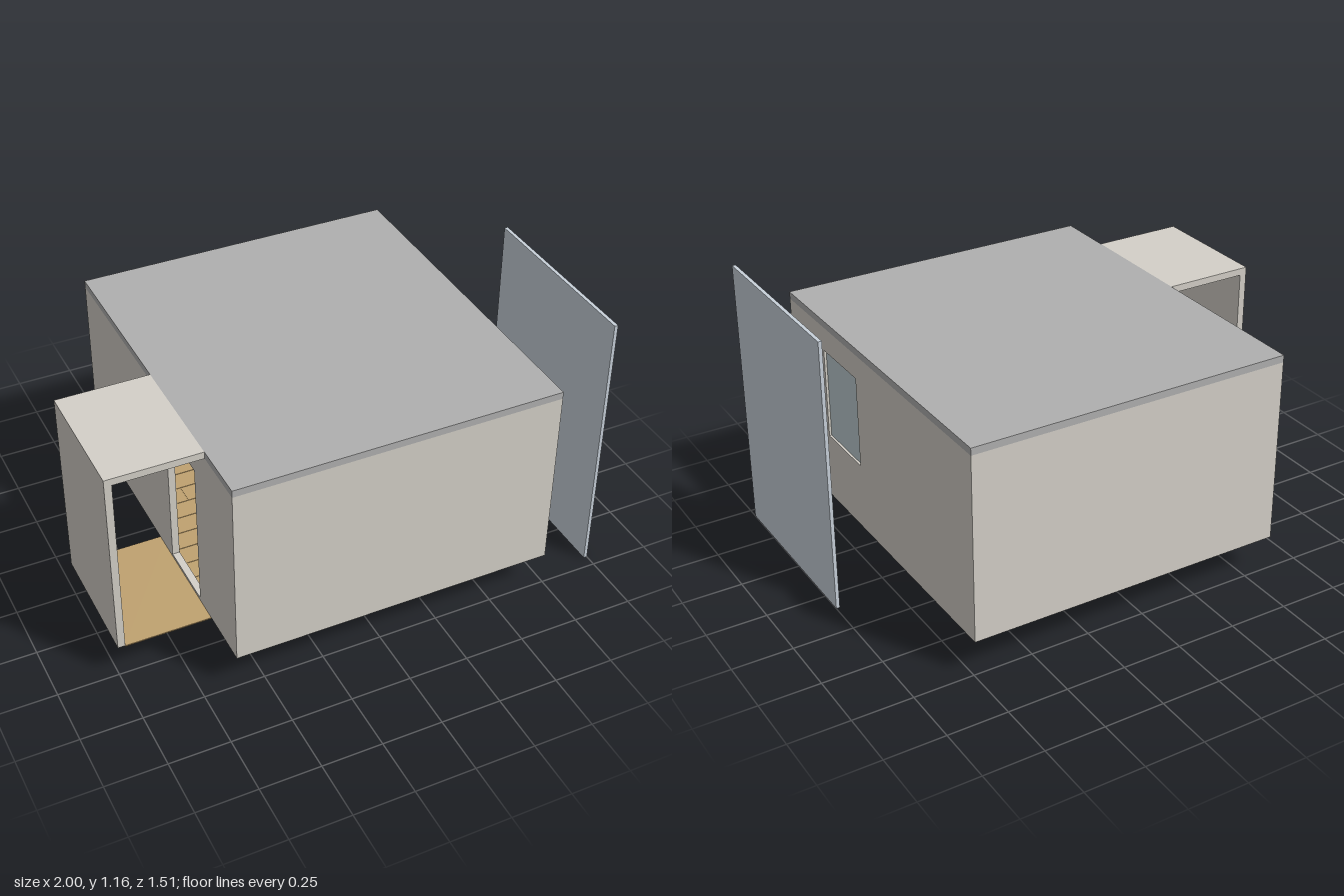
import * as THREE from 'three';

const paint = (color) => new THREE.MeshStandardMaterial({ color });
const wallPaint = paint(0xd4d0c8);
const roofPaint = paint(0xb0b0b0);
const panelPaint = paint(0xc9d2db);
const glassPaint = paint(0xbfced2);
const woodPaint = paint(0xc0a270);

const T = 0.03; // wall thickness
const Y0 = 0.15, Y1 = 0.935, TOP = 0.965; // floor level, wall top, roof top
const X0 = -0.615, X1 = 0.745, Z = 0.755; // room outline

export function createModel() {
  const model = new THREE.Group();
  model.name = 'room';

  // Box given by its minimum and maximum along each axis
  function box(name, mat, x0, x1, y0, y1, z0, z1, parent = model) {
    const mesh = new THREE.Mesh(new THREE.BoxGeometry(x1 - x0, y1 - y0, z1 - z0), mat);
    mesh.position.set((x0 + x1) / 2, (y0 + y1) / 2, (z0 + z1) / 2);
    mesh.name = name;
    parent.add(mesh);
    return mesh;
  }

  // Side wall, drawn in z and y, with one rectangular opening
  function sideWall(name, xMax, z0, z1, y0, y1) {
    const shape = new THREE.Shape();
    const w = Z - T;
    shape.moveTo(-w, Y0).lineTo(w, Y0).lineTo(w, Y1).lineTo(-w, Y1).closePath();
    const hole = new THREE.Path();
    hole.moveTo(z0, y0).lineTo(z0, y1).lineTo(z1, y1).lineTo(z1, y0).closePath();
    shape.holes.push(hole);
    const geo = new THREE.ExtrudeGeometry(shape, { depth: T, bevelEnabled: false });
    geo.rotateY(-Math.PI / 2).translate(xMax, 0, 0);
    const mesh = new THREE.Mesh(geo, wallPaint);
    mesh.name = name;
    model.add(mesh);
  }

  // Room shell
  box('frontWall', wallPaint, X0, X1, Y0, Y1, Z - T, Z);
  box('backWall', wallPaint, X0, X1, Y0, Y1, -Z, -Z + T);
  sideWall('windowWall', X1, 0.157, 0.444, 0.44, 0.83);
  sideWall('doorWall', X0 + T, 0.115, 0.4, Y0 + 0.012, 0.8);
  box('roof', roofPaint, X0, X1, Y1, TOP, -Z, Z);

  // Window pane and the free-standing backdrop outside it
  box('windowPane', glassPaint, X1 - 0.02, X1 - 0.01, 0.44, 0.83, 0.157, 0.444);
  box('backdropPanel', panelPaint, 0.985, 1, 0, 1.16, -0.1, 0.7);

  // Base of the floor, then rows of staggered planks running along x
  box('floorBase', woodPaint, X0 + T, X1 - T, 0.145, 0.15, -Z + T, Z - T);
  const planks = new THREE.Group();
  planks.name = 'floorPlanks';
  model.add(planks);
  const rows = 16, gap = 0.003, length = 0.325;
  const left = X0 + T, right = X1 - T, width = (2 * (Z - T)) / rows;
  for (let r = 0; r < rows; r++) {
    const z = -Z + T + r * width;
    for (let x = left - (r % 2) * length / 2; x < right - 0.01; x += length) {
      const a = Math.max(x, left), b = Math.min(x + length, right);
      box('plank', woodPaint, a, b - gap, 0.15, 0.152, z, z + width - gap, planks);
    }
  }

  // Entrance passage, open on both sides
  const hall = new THREE.Group();
  hall.name = 'passage';
  model.add(hall);
  box('passageRoof', wallPaint, -1, X0, Y1, TOP, -0.02, 0.51, hall);
  box('passageEndWall', wallPaint, -1, -1 + T, Y0, Y1, -0.02, 0.51, hall);
  box('passageFloor', woodPaint, -1 + T, X0 + T, 0.145, 0.15, -0.02, 0.51, hall);

  return model;
}
